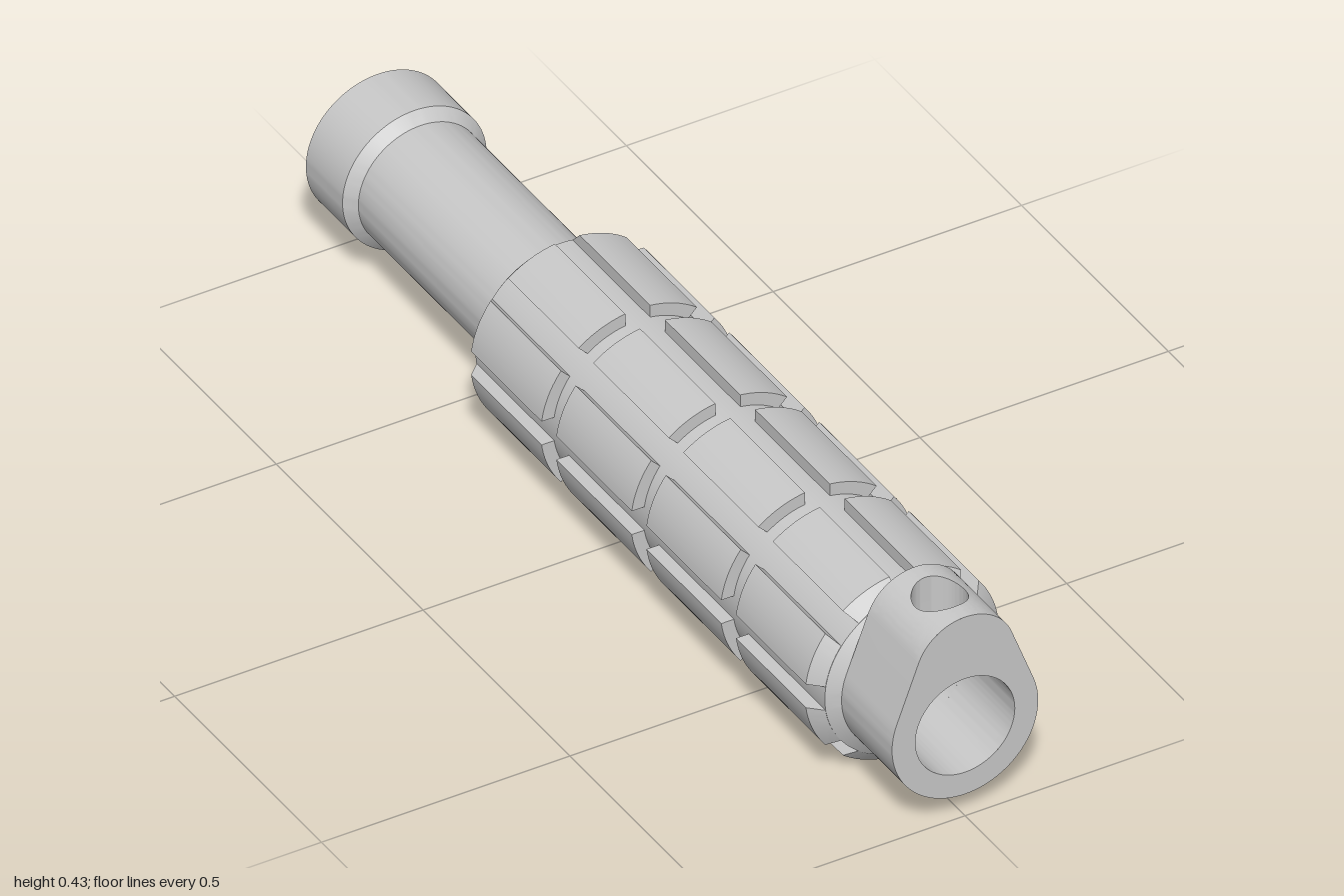
import * as THREE from 'three';
import { toCreasedNormals } from 'three/addons/utils/BufferGeometryUtils.js';

const BORE = 0.1, CORE = 0.17, GRIP = 0.195, AXIS_Y = 0.195;
const LUG_BACK = 0.828, LUG_FRONT = 1, LUG_R = 0.147, EAR_R = 0.1, EAR_Y = 0.132;

const steel = new THREE.MeshStandardMaterial({ color: 0xc8c8c8 });
steel.name = 'light grey steel';

// Surface through rows of points; it faces along (row direction) x (row to row)
function grid(rows) {
  const n = rows[0].length, index = [], points = rows.flat();
  const triangle = (a, b, c) => {
    const [p, q, r] = [points[a], points[b], points[c]];
    if (!p.equals(q) && !q.equals(r) && !r.equals(p)) index.push(a, b, c);
  };
  for (let i = 0; i < rows.length - 1; i++) {
    for (let j = 0; j < n - 1; j++) {
      const a = i * n + j, d = a + n;
      triangle(a, a + 1, d + 1);
      triangle(a, d + 1, d);
    }
  }
  const g = new THREE.BufferGeometry().setFromPoints(points);
  g.setIndex(index);
  return toCreasedNormals(g, 0.5);
}

function arc(r, from, to, n, cy = 0) {
  return Array.from({ length: n + 1 }, (_, i) => {
    const a = from + (to - from) * i / n;
    return new THREE.Vector2(r * Math.cos(a), cy + r * Math.sin(a));
  });
}

const atZ = (pts, z) => pts.map(p => new THREE.Vector3(p.x, p.y, z));

function add(parent, name, geometry) {
  const mesh = new THREE.Mesh(geometry, steel);
  mesh.name = name;
  parent.add(mesh);
  return mesh;
}

// Hollow turned tube: bore, rear collar, barrel and grip core
function tubeGeometry() {
  const profile = [
    [BORE, LUG_BACK], [BORE, -1], [0.145, -1], [0.145, -0.875], [0.125, -0.855],
    [0.125, -0.395], [0.155, -0.395], [CORE, -0.38], [CORE, 0.81], [0.146, LUG_BACK], [BORE, LUG_BACK],
  ].map(p => new THREE.Vector2(...p));
  const g = new THREE.LatheGeometry(profile, 96);
  g.rotateX(Math.PI / 2);
  return toCreasedNormals(g, 0.5);
}

// Raised grip pad with parallel-sided gaps to its neighbours; stations are [z, outer radius]
function padGeometry(stations) {
  const rings = stations.map(([z, r]) => {
    const edge = q => Math.asin(0.025 / q), inner = CORE - 0.005;
    const pts = [
      ...arc(r, edge(r), Math.PI / 4 - edge(r), 10),
      ...arc(inner, Math.PI / 4 - edge(inner), edge(inner), 10),
    ];
    pts.push(pts[0].clone());
    return atZ(pts, z);
  });
  const cap = ring => {
    const c = new THREE.Vector3();
    ring.slice(1).forEach(p => c.add(p));
    c.divideScalar(ring.length - 1);
    return ring.map(() => c.clone());
  };
  return grid([cap(rings[0]), ...rings, cap(rings[rings.length - 1])]);
}

// Front lug: round body tapering up to an ear with a stepped cross hole into the bore
function addLug(parent) {
  const lug = new THREE.Group();
  lug.name = 'frontLug';
  parent.add(lug);
  const t = Math.asin((LUG_R - EAR_R) / EAR_Y);

  // End faces
  const lower = arc(LUG_R, Math.PI - t, 2 * Math.PI + t, 72);
  const ear = arc(EAR_R, t, Math.PI - t, 40, EAR_Y);
  const shape = new THREE.Shape([...lower, ...ear]);
  shape.holes.push(new THREE.Path(arc(BORE, 0, -2 * Math.PI, 96).slice(1)));
  const face = new THREE.ShapeGeometry(shape);
  add(lug, 'lugFrontFace', face).position.z = LUG_FRONT;
  const back = add(lug, 'lugBackFace', face);
  back.rotation.y = Math.PI;
  back.position.z = LUG_BACK;

  // Sides and lower part of the bore
  const side = [ear[ear.length - 1], ...lower, ear[0]];
  add(lug, 'lugSide', grid([atZ(side, LUG_BACK), atZ(side, LUG_FRONT)]));
  const boreArc = arc(BORE, 2 * Math.PI + t, Math.PI - t, 72);
  add(lug, 'lugBore', grid([atZ(boreArc, LUG_BACK), atZ(boreArc, LUG_FRONT)]));

  // Bore roof, stepped hole and ear crown as one continuous skin
  const midZ = (LUG_BACK + LUG_FRONT) / 2, halfZ = (LUG_FRONT - LUG_BACK) / 2;
  const half = Math.PI / 2 - t, seg = 96, steps = 12;
  const around = f => Array.from({ length: seg + 1 }, (_, j) => {
    const a = 2 * Math.PI * j / seg;
    return f(Math.cos(a), Math.sin(a));
  });
  const patch = (R, cy, hole) => Array.from({ length: steps + 1 }, (_, i) => around((c, s) => {
    const k = i / steps, m = Math.max(Math.abs(c), Math.abs(s));
    const phi = THREE.MathUtils.lerp(Math.asin(hole * c / R), half * c / m, k);
    const z = THREE.MathUtils.lerp(hole * s, halfZ * s / m, k);
    return new THREE.Vector3(R * Math.sin(phi), cy + R * Math.cos(phi), midZ + z);
  }));
  const ring = (r, y) => around((c, s) => new THREE.Vector3(r * c, y, midZ + r * s));
  const narrow = 0.04, wide = 0.05, stepY = 0.135;
  add(lug, 'lugCrownAndCrossHole', grid([
    ...patch(BORE, 0, narrow).reverse(), ring(narrow, stepY), ring(wide, stepY),
    ...patch(EAR_R, EAR_Y, wide),
  ]));
}

export function createModel() {
  const model = new THREE.Group();
  model.name = 'grippedTube';
  const body = new THREE.Group();
  body.name = 'body';
  body.position.y = AXIS_Y;
  model.add(body);

  add(body, 'hollowTube', tubeGeometry());

  // Four rows of eight pads, the end rows chamfered into the core
  const tip = CORE - 0.001;
  const rows = [
    [[-0.38, tip], [-0.355, GRIP], [-0.115, GRIP]],
    [[-0.065, GRIP], [0.192, GRIP]],
    [[0.242, GRIP], [0.497, GRIP]],
    [[0.547, GRIP], [0.785, GRIP], [0.81, tip]],
  ];
  rows.forEach((stations, i) => {
    const g = padGeometry(stations);
    for (let k = 0; k < 8; k++) {
      add(body, `gripPad${i + 1}_${k + 1}`, g).rotation.z = k * Math.PI / 4;
    }
  });

  addLug(body);
  return model;
}
